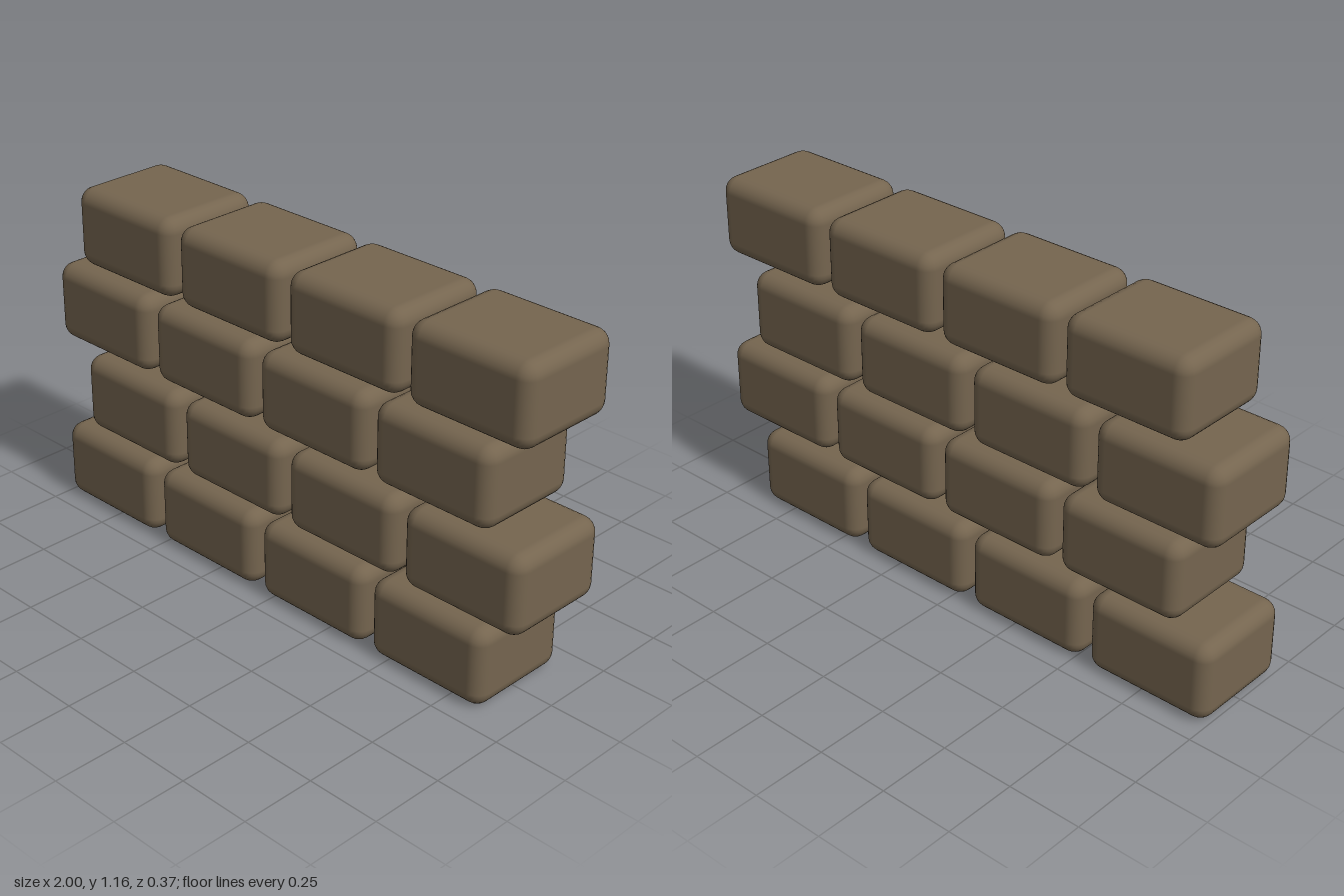
import * as THREE from 'three';
import { RoundedBoxGeometry } from 'three/addons/geometries/RoundedBoxGeometry.js';

// Brick size, corner radius and spacing
const WIDTH = 0.446, HEIGHT = 0.268, DEPTH = 0.372, RADIUS = 0.05;
const STEP_X = 0.477, STEP_Y = 0.298, STAGGER = 0.123;
const ROWS = 4, COLUMNS = 4;

export function createModel() {
  const wall = new THREE.Group();
  wall.name = 'brickWall';

  const brown = new THREE.MeshStandardMaterial({ color: 0x75654f });
  brown.name = 'earthBrown';
  const brickGeometry = new RoundedBoxGeometry(WIDTH, HEIGHT, DEPTH, 3, RADIUS);

  // Courses of separate bricks, every second one shifted towards +x
  for (let r = 0; r < ROWS; r++) {
    const course = new THREE.Group();
    course.name = `course${r + 1}`;
    course.position.set(-1 + WIDTH / 2 + (r % 2) * STAGGER, HEIGHT / 2 + r * STEP_Y, 0);
    for (let c = 0; c < COLUMNS; c++) {
      const brick = new THREE.Mesh(brickGeometry, brown);
      brick.name = `brick${c + 1}`;
      brick.position.x = c * STEP_X;
      course.add(brick);
    }
    wall.add(course);
  }
  return wall;
}
